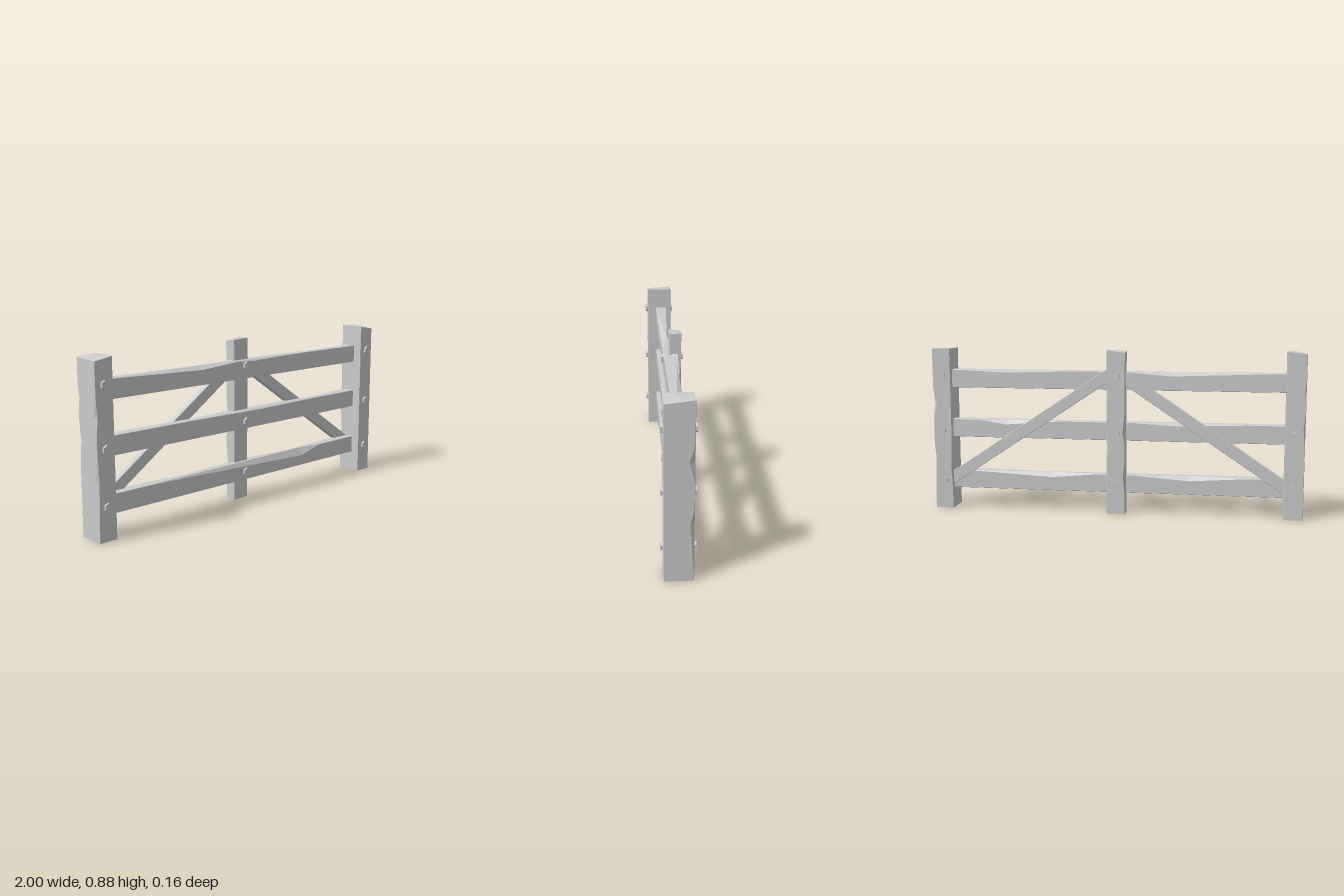
import * as THREE from 'three';

const material = new THREE.MeshStandardMaterial({ color: 0xcccccc, flatShading: true });

// Corner numbers of a beam section, as signs of [x, z]
const CORNERS = [[-1, -1], [1, -1], [1, 1], [-1, 1]];

// Depth of a chip at height y, from points [y, cutX, cutZ]
function cutAt(points, y) {
  const base = 0.002;
  for (let i = 0; points && i < points.length - 1; i++) {
    const [y0, u0, v0] = points[i], [y1, u1, v1] = points[i + 1];
    if (y >= y0 && y <= y1) {
      const k = (y - y0) / (y1 - y0);
      return [Math.max(base, u0 + (u1 - u0) * k), Math.max(base, v0 + (v1 - v0) * k)];
    }
  }
  return [base, base];
}

// Hewn beam along y from a to b; chips lists knocked-off edges per corner, drops lowers top corners
function beam(name, a, b, width, depth, chips = {}, drops = [0, 0, 0, 0]) {
  const stations = [...new Set([a, b, ...Object.values(chips).flat().map((p) => p[0])])]
    .filter((y) => y >= a && y <= b).sort((p, q) => p - q);
  const rings = stations.map((y) => CORNERS.flatMap(([sx, sz], c) => {
    const [u, v] = cutAt(chips[c], y);
    const h = y === b ? y - drops[c] : y;
    const alongX = [sx * (width / 2 - u), h, sz * depth / 2];
    const alongZ = [sx * width / 2, h, sz * (depth / 2 - v)];
    return c % 2 ? [alongX, alongZ] : [alongZ, alongX];
  }));
  const pos = [];
  const tri = (...pts) => pts.forEach((p) => pos.push(...p));
  const last = rings[rings.length - 1];
  for (let i = 0; i < 8; i++) {
    const j = (i + 1) % 8;
    for (let r = 0; r < rings.length - 1; r++) {
      const lo = rings[r], hi = rings[r + 1];
      tri(lo[i], hi[i], lo[j]);
      tri(lo[j], hi[i], hi[j]);
    }
    tri([0, a, 0], rings[0][i], rings[0][j]);
    tri([0, b, 0], last[j], last[i]);
  }
  const geometry = new THREE.BufferGeometry();
  geometry.setAttribute('position', new THREE.Float32BufferAttribute(pos, 3));
  geometry.computeVertexNormals();
  const mesh = new THREE.Mesh(geometry, material);
  mesh.name = name;
  return mesh;
}

// Hexagonal bolt head facing along z
function bolt(x, y, z) {
  const mesh = new THREE.Mesh(new THREE.CylinderGeometry(0.022, 0.022, 0.024, 6), material);
  mesh.name = 'bolt';
  mesh.rotation.x = Math.PI / 2;
  mesh.position.set(x, y, z);
  return mesh;
}

export function createModel() {
  const gate = new THREE.Group();
  gate.name = 'woodenFence';

  // End posts
  const leftPost = beam('leftPost', 0, 0.88, 0.1, 0.14, {
    1: [[0, 0, 0], [0.29, 0.012, 0.02], [0.36, 0, 0], [0.5, 0, 0], [0.59, 0.02, 0.026], [0.67, 0, 0]],
    0: [[0.1, 0, 0], [0.25, 0.008, 0.008], [0.4, 0, 0]],
  }, [0, 0, 0.016, 0]);
  leftPost.position.x = 0.95;
  const rightPost = beam('rightPost', 0, 0.88, 0.1, 0.14, {
    0: [[0.35, 0, 0], [0.48, 0.01, 0.02], [0.58, 0, 0], [0.62, 0, 0], [0.68, 0.008, 0.015], [0.74, 0, 0]],
    3: [[0.05, 0, 0], [0.3, 0.008, 0.018], [0.42, 0, 0], [0.52, 0, 0], [0.6, 0.01, 0.02], [0.7, 0, 0]],
  }, [0.008, 0, 0, 0.016]);
  rightPost.position.x = -0.95;

  // Middle post, behind the rails
  const middlePost = beam('middlePost', 0, 0.88, 0.1, 0.062, {
    0: [[0.1, 0, 0], [0.2, 0.012, 0.014], [0.3, 0, 0], [0.34, 0, 0], [0.44, 0.014, 0.016], [0.56, 0, 0]],
    1: [[0.25, 0, 0], [0.36, 0.01, 0.01], [0.5, 0, 0], [0.58, 0, 0], [0.64, 0.008, 0.01], [0.7, 0, 0]],
  }, [0.012, 0, 0, 0.004]);
  middlePost.position.set(-0.01, 0, -0.041);
  gate.add(leftPost, rightPost, middlePost);

  // Rails: corner 3 is the top front edge, corner 0 the top back edge
  const rails = [
    ['bottomRail', 0.16, {
      3: [[-0.65, 0, 0], [0.45, 0.042, 0.024], [0.6, 0, 0]],
      0: [[-0.75, 0, 0], [-0.4, 0.024, 0.025], [-0.1, 0, 0], [0.1, 0, 0], [0.35, 0.025, 0.028], [0.8, 0, 0]],
    }],
    ['middleRail', 0.445, {
      3: [[-0.5, 0, 0], [0.1, 0.008, 0.012], [0.6, 0, 0]],
      0: [[-0.7, 0, 0], [-0.35, 0.015, 0.02], [-0.1, 0, 0], [0.3, 0, 0], [0.6, 0.025, 0.025], [0.75, 0, 0]],
    }],
    ['topRail', 0.717, {
      3: [[-0.88, 0, 0], [-0.3, 0.02, 0.032], [-0.05, 0, 0], [0.05, 0.01, 0.01], [0.4, 0, 0]],
      0: [[-0.85, 0, 0], [-0.3, 0.022, 0.026], [-0.05, 0, 0], [0.2, 0, 0], [0.6, 0.014, 0.025], [0.85, 0, 0]],
    }],
  ];
  for (const [name, y, chips] of rails) {
    const rail = beam(name, -0.93, 0.93, 0.098, 0.06, chips);
    rail.rotation.z = -Math.PI / 2;
    rail.position.set(0, y, -0.01);
    gate.add(rail);
  }

  // Diagonal braces, mirrored about the middle post
  for (const side of [-1, 1]) {
    const foot = new THREE.Vector2(side * 0.91, 0.163);
    const head = new THREE.Vector2(side * 0.035, 0.747);
    const run = head.clone().sub(foot);
    const half = run.length() / 2;
    const brace = beam(side > 0 ? 'leftBrace' : 'rightBrace', -half, half, 0.062, 0.032);
    brace.rotation.z = Math.atan2(-run.x, run.y);
    brace.position.set((foot.x + head.x) / 2, (foot.y + head.y) / 2, -0.039);
    gate.add(brace);
  }

  // Bolts on both faces of each post
  for (const y of [0.155, 0.433, 0.737]) {
    for (const z of [-0.07, 0.07]) gate.add(bolt(0.95, y, z), bolt(-0.95, y + 0.015, z));
    gate.add(bolt(0, y, 0.02), bolt(-0.01, y + 0.01, -0.071));
  }
  return gate;
}
